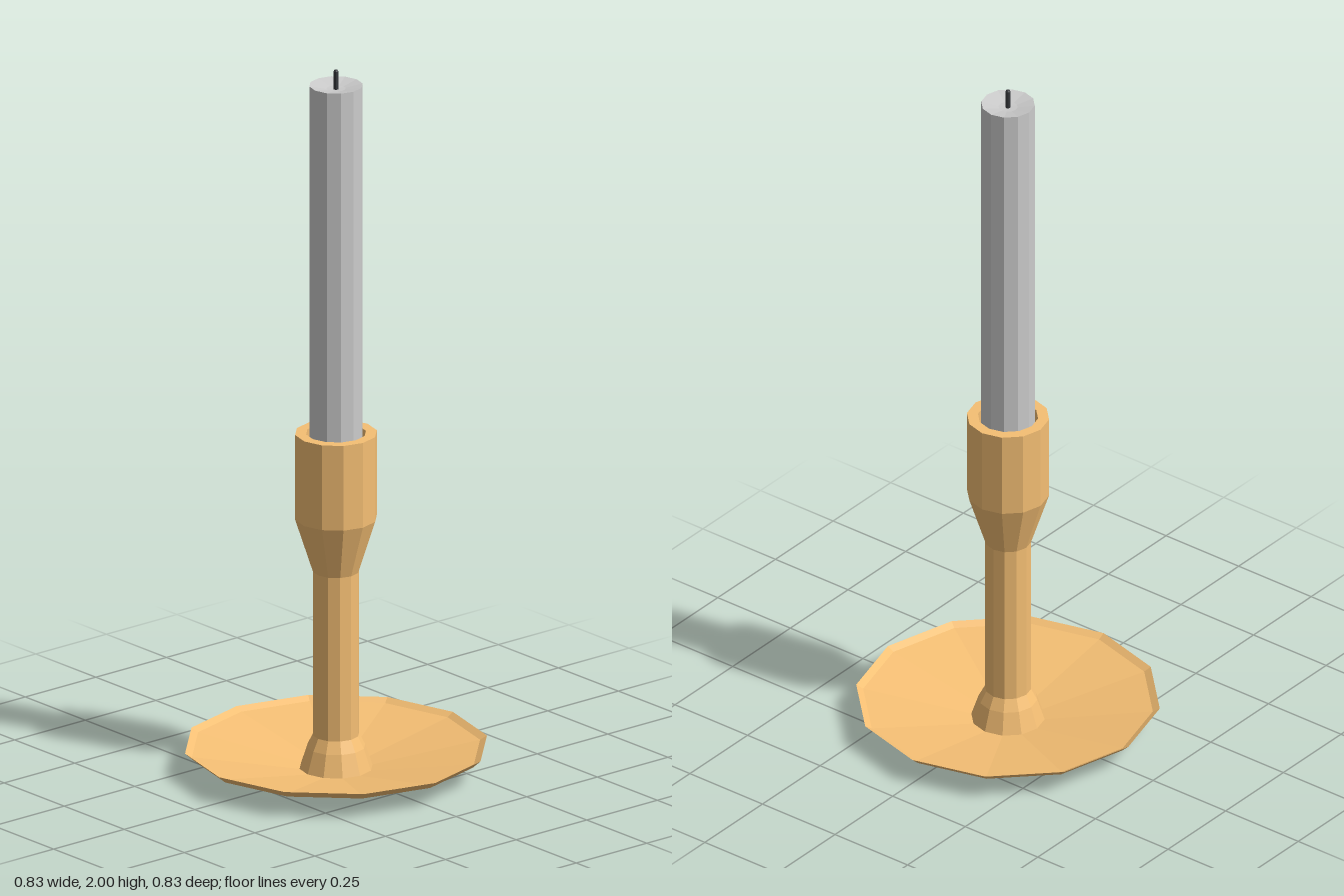
import * as THREE from 'three';

const SIDES = 12;

// Faceted solid of revolution from [radius, height] pairs, outside running upward
function turned(name, profile, color, sides = SIDES) {
  const points = profile.map(([r, y]) => new THREE.Vector2(r, y));
  const material = new THREE.MeshStandardMaterial({ color, flatShading: true });
  const mesh = new THREE.Mesh(new THREE.LatheGeometry(points, sides), material);
  mesh.name = name;
  return mesh;
}

export function createModel() {
  const group = new THREE.Group();
  group.name = 'candlestick';
  const brass = 0xf5bf74;

  // Shallow dish: underside, steeper lip, then the hollow upper face
  group.add(turned('dripPlate', [
    [0, 0], [0.1, 0], [0.392, 0.053], [0.414, 0.073],
    [0.395, 0.062], [0.1, 0.01], [0, 0.01],
  ], brass));

  // Flared foot, slim stem and open cup with its socket
  group.add(turned('stemAndCup', [
    [0.1, 0.01], [0.08, 0.07], [0.063, 0.103], [0.063, 0.57],
    [0.112, 0.722], [0.112, 0.964], [0.082, 0.964], [0.082, 0.74], [0, 0.74],
  ], brass));

  // Candle with a slightly hollowed top
  group.add(turned('candle', [
    [0, 0.742], [0.073, 0.742], [0.073, 1.957], [0.026, 1.947], [0, 1.945],
  ], 0xcccccc));

  // Wick
  group.add(turned('wick', [
    [0, 1.94], [0.007, 1.94], [0.007, 1.996], [0.004, 2], [0, 2],
  ], 0x36383c, 8));

  return group;
}
